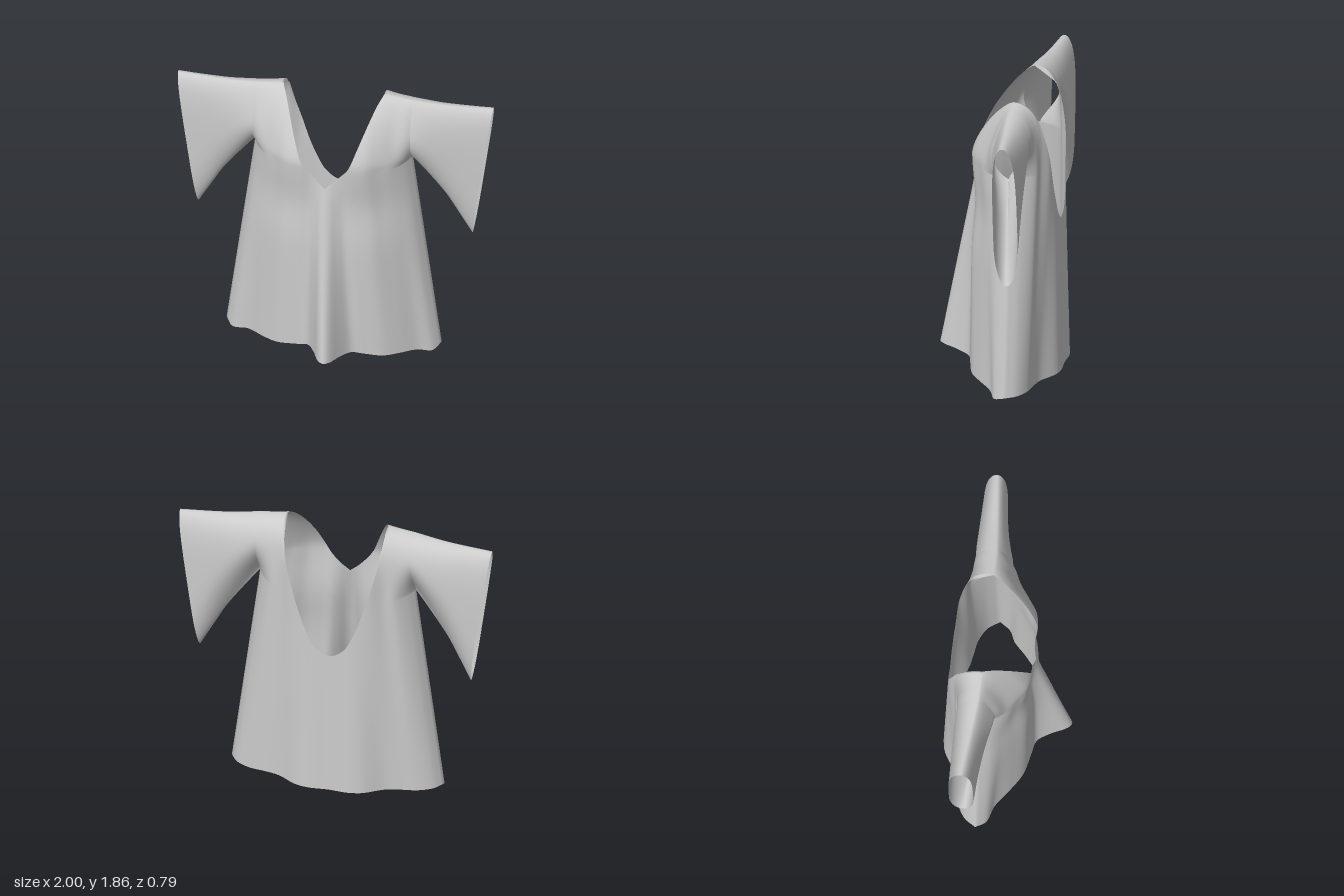
import * as THREE from 'three';
import { mergeVertices } from 'three/addons/utils/BufferGeometryUtils.js';

const lerp = THREE.MathUtils.lerp;
const clamp01 = (v) => Math.min(1, Math.max(0, v));

// Smooth curve through (xs, ys); flatStart gives a level tangent at the first point
function curve(xs, ys, flatStart = false) {
  const n = xs.length;
  const m = xs.map((_, i) => {
    if (i === 0 && flatStart) return 0;
    const a = Math.max(0, i - 1), b = Math.min(n - 1, i + 1);
    return (ys[b] - ys[a]) / (xs[b] - xs[a]);
  });
  return (x) => {
    let i = 0;
    while (i < n - 2 && x > xs[i + 1]) i++;
    const h = xs[i + 1] - xs[i], t = clamp01((x - xs[i]) / h), q = 1 - t;
    return (1 + 2 * t) * q * q * ys[i] + t * q * q * h * m[i]
      + t * t * (3 - 2 * t) * ys[i + 1] - t * t * q * h * m[i + 1];
  };
}

const ARMPIT_Y = 1.42, ARMPIT_X = 0.5, NECK_X = 0.32, SEAM_Z = -0.13;
const UPPER = 24, LOWER = 30;

// Outlines
const shoulderY = curve([NECK_X, 0.5, 0.7, 1], [1.865, 1.842, 1.82, 1.812]);
const underarmY = curve([0, 0.24, 0.57, 0.76, 1], [ARMPIT_Y, 1.305, 1.135, 1.01, 0.85]);
const frontNeck = curve([0, 0.08, 0.15, 0.2, 0.25, 0.29, NECK_X], [1.3, 1.38, 1.47, 1.6, 1.73, 1.82, 1.865]);
const backNeck = curve([0, 0.09, 0.15, 0.22, 0.27, 0.3, NECK_X], [1.0, 1.06, 1.18, 1.37, 1.54, 1.68, 1.865], true);
const frontHem = curve([0, 0.1, 0.25, 0.5, 0.75, 0.93, 1], [0.13, 0.125, 0.095, 0.06, 0.035, 0.002, 0.025], true);

// Depth of the cloth from centre (0) to side seam (1), at hem and chest
const U = [0, 0.06, 0.12, 0.2, 0.32, 0.5, 0.65, 0.8, 0.93, 1];
const FRONT = {
  hem: [0.42, 0.385, 0.29, 0.195, 0.165, 0.13, 0.06, -0.025, -0.065, SEAM_Z],
  chest: [0.15, 0.152, 0.155, 0.16, 0.168, 0.15, 0.1, 0.045, -0.0425, SEAM_Z],
};
const BACK = {
  hem: [-0.385, -0.387, -0.39, -0.39, -0.37, -0.295, -0.27, -0.25, -0.2, SEAM_Z],
  chest: [-0.357, -0.357, -0.357, -0.356, -0.355, -0.342, -0.3, -0.28, -0.205, SEAM_Z],
};

// Rounding of the cloth over the shoulder (t: 0 underarm, 1 shoulder; s: 0 armhole, 1 cuff)
function overShoulder(t, s, front) {
  const k = front ? Math.max(0, (t - 0.1) / 0.9) : t;
  const p = lerp(front ? 1.25 : 4, 7, s);
  return Math.pow(Math.max(0, 1 - Math.pow(k, p)), lerp(front ? 0.65 : 0.5, 0.5, s));
}

// Depth of the sleeve either side of its middle, closing at the underarm fold
function armDepth(t, s, front) {
  const r = Math.min(1, t / lerp(front ? 0.5 : 0.68, 0.3, s));
  const fold = Math.pow(1 - (1 - r) ** 2, lerp(front ? 0.8 : 1.5, 0.5, s));
  return fold * (front ? 0.072 + 0.055 * (1 - s) ** 3 : -lerp(0.145, 0.082, s));
}
const upperT = (k) => (1 - Math.cos(Math.PI * k / UPPER)) / 2;

// Indexed sheet of points; flip reverses the facing
function addSheet(pos, idx, cols, rows, point, flip) {
  const base = pos.length / 3;
  for (let j = 0; j <= rows; j++)
    for (let i = 0; i <= cols; i++) pos.push(...point(i, j));
  for (let j = 0; j < rows; j++)
    for (let i = 0; i < cols; i++) {
      const a = base + j * (cols + 1) + i, b = a + 1, c = a + cols + 1, d = c + 1;
      if (flip) idx.push(a, d, b, a, c, d);
      else idx.push(a, b, d, a, d, c);
    }
}

function clothMesh(name, pos, idx, material) {
  let g = new THREE.BufferGeometry();
  g.setAttribute('position', new THREE.Float32BufferAttribute(pos, 3));
  g.setIndex(idx);
  g = mergeVertices(g, 1e-4);
  g.computeVertexNormals();
  const mesh = new THREE.Mesh(g, material);
  mesh.name = name;
  return mesh;
}

// One point of the front or back panel, u from -1 to 1 across
function bodyPoint(u, row, front) {
  const a = Math.abs(u), topX = a * ARMPIT_X;
  const hem = front ? frontHem(a) : 0.028 - 0.003 * a;
  const top = topX >= NECK_X ? shoulderY(topX) : (front ? frontNeck : backNeck)(topX);
  const split = Math.min(ARMPIT_Y, lerp(hem, top, 0.77));
  const y = row <= LOWER ? lerp(hem, split, row / LOWER) : lerp(split, top, upperT(row - LOWER));
  const w = clamp01(y / ARMPIT_Y);
  const x = u * lerp(0.685, ARMPIT_X, w);
  const t = clamp01((y - ARMPIT_Y) / (shoulderY(Math.max(topX, NECK_X)) - ARMPIT_Y));
  // the front pleat drifts slightly to one side toward the hem
  const us = front ? Math.min(1, Math.abs(u - 0.055 * (1 - w) * (1 - u * u))) : a;
  const set = front ? FRONT : BACK;
  const section = U.map((_, i) => lerp(set.hem[i], set.chest[i], w));
  const last = U.length - 1;
  if (t > 0) {
    // above the armpit the panel runs on into the sleeve
    section[last] = SEAM_Z + armDepth(t, 0, front);
    section[last - 1] = lerp(section[last - 2], section[last], 0.5);
  }
  let z = curve(U, section, true)(us);
  // the cloth falls inward below the chest
  if (front) z -= 0.025 * Math.sin(Math.PI * a) * Math.exp(-(((y - 1.15) / 0.2) ** 2));
  return [x, y, SEAM_Z + (z - SEAM_Z) * overShoulder(t, 0, front)];
}

function buildBody(material) {
  const pos = [], idx = [], cols = 100;
  for (const front of [true, false])
    addSheet(pos, idx, cols, LOWER + UPPER, (i, j) => bodyPoint(i / cols * 2 - 1, j, front), !front);
  return clothMesh('body', pos, idx, material);
}

// Wide hanging sleeve, open at the slanted cuff
function buildSleeve(name, side, material) {
  const pos = [], idx = [], cols = 28;
  for (const front of [true, false])
    addSheet(pos, idx, cols, UPPER, (i, j) => {
      const s = i / cols, t = upperT(j);
      const topX = lerp(ARMPIT_X, 1, s), lowX = lerp(ARMPIT_X, 0.868, s);
      const z = lerp(SEAM_Z, -0.185, s) + armDepth(t, s, front) * overShoulder(t, s, front);
      return [side * lerp(lowX, topX, t), lerp(underarmY(s), shoulderY(topX), t), z];
    }, front !== (side > 0));
  return clothMesh(name, pos, idx, material);
}

export function createModel() {
  const material = new THREE.MeshStandardMaterial({ color: 0xcccccc, side: THREE.DoubleSide });
  const group = new THREE.Group();
  group.name = 'tunic';
  group.add(
    buildBody(material),
    buildSleeve('leftSleeve', 1, material),
    buildSleeve('rightSleeve', -1, material),
  );
  return group;
}
